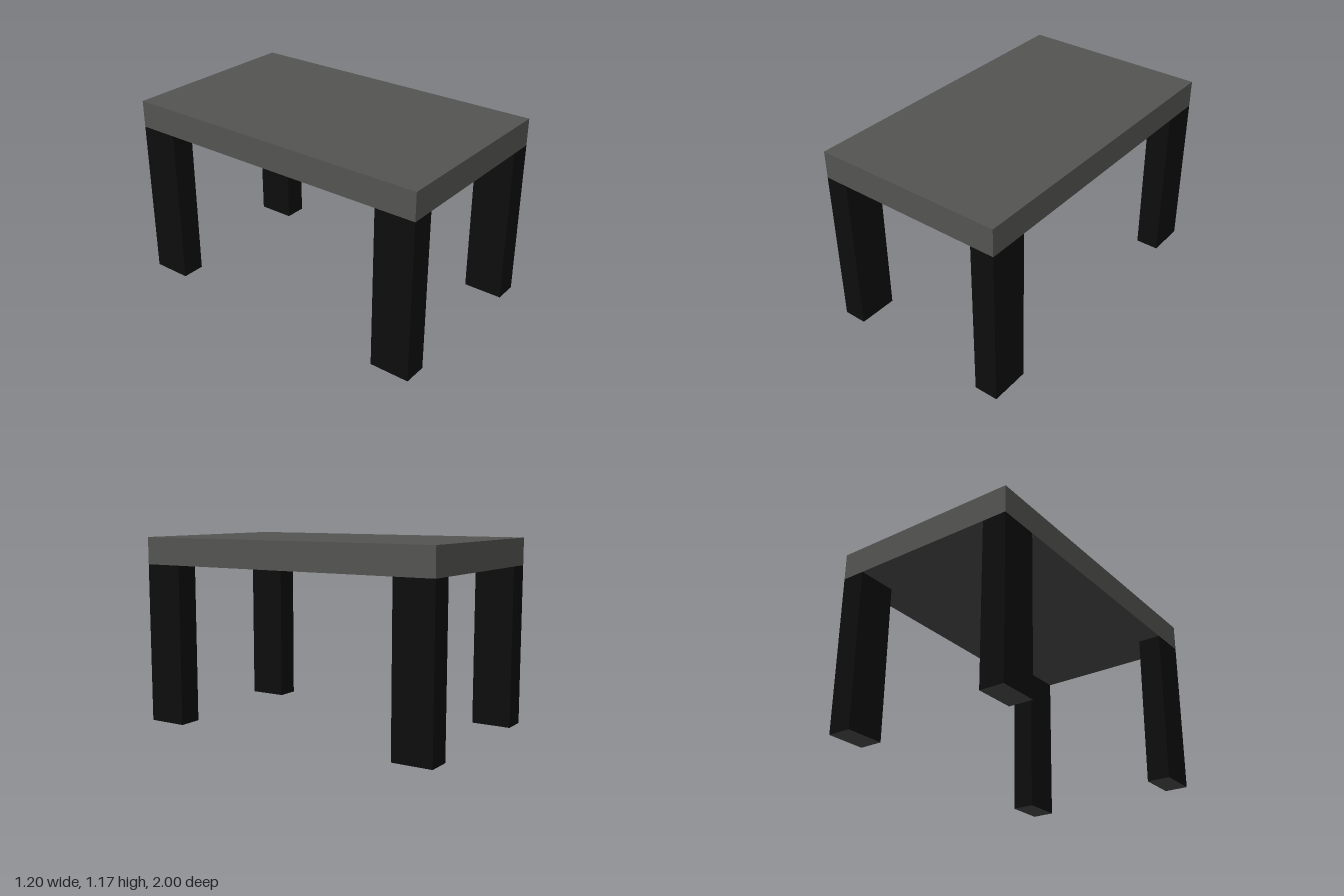
import * as THREE from 'three';

const WIDTH = 1.2, DEPTH = 2, LEG_HEIGHT = 1, TOP_THICKNESS = 0.17;
const LEG_WIDTH = 0.15, LEG_DEPTH = 0.25;

export function createModel() {
  const table = new THREE.Group();
  table.name = 'table';

  const grey = new THREE.MeshStandardMaterial({ color: 0x555553 });
  const black = new THREE.MeshStandardMaterial({ color: 0x0d0d0d });

  // Slab top
  const top = new THREE.Mesh(new THREE.BoxGeometry(WIDTH, TOP_THICKNESS, DEPTH), grey);
  top.name = 'tableTop';
  top.position.y = LEG_HEIGHT + TOP_THICKNESS / 2;
  table.add(top);

  // Black legs flush with the corners, with grey undersides
  const legGeometry = new THREE.BoxGeometry(LEG_WIDTH, LEG_HEIGHT, LEG_DEPTH);
  const legMaterials = [black, black, black, grey, black, black];
  for (const [endName, sz] of [['front', 1], ['back', -1]]) {
    for (const [sideName, sx] of [['Left', 1], ['Right', -1]]) {
      const leg = new THREE.Mesh(legGeometry, legMaterials);
      leg.name = `${endName}${sideName}Leg`;
      leg.position.set(sx * (WIDTH - LEG_WIDTH) / 2, LEG_HEIGHT / 2, sz * (DEPTH - LEG_DEPTH) / 2);
      table.add(leg);
    }
  }

  return table;
}
